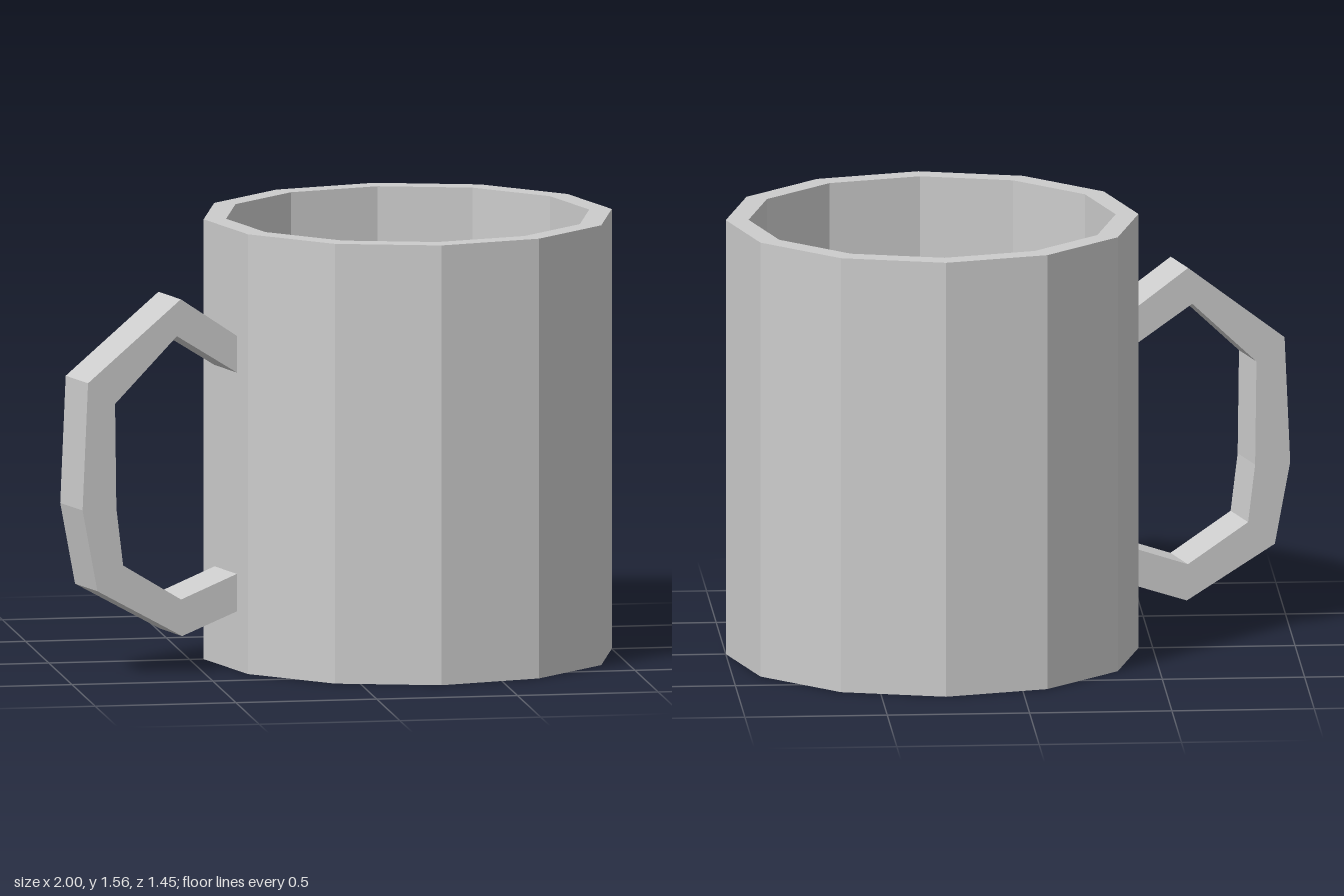
import * as THREE from 'three';

const SIDES = 12;
const CENTRE_X = 0.275;

export function createModel() {
  const group = new THREE.Group();
  group.name = 'mug';
  const material = new THREE.MeshStandardMaterial({ color: 0xcccccc, flatShading: true });

  // Cup: one closed profile with recessed foot, outer wall, rim, inner wall and floor
  const profile = [
    [0, 0.11], [0.59, 0.11], [0.59, 0], [0.725, 0],
    [0.725, 1.56], [0.645, 1.56], [0.645, 0.18], [0, 0.18],
  ].map(([r, y]) => new THREE.Vector2(r, y));
  const cup = new THREE.Mesh(new THREE.LatheGeometry(profile, SIDES), material);
  cup.name = 'cup';
  cup.position.x = CENTRE_X;
  group.add(cup);

  // Handle: angular C outline (distance from cup axis, height), extruded to its width
  const outline = [
    // outer edge, bottom to top
    [0.698, 0.21], [0.911, 0.135], [1.237, 0.315], [1.294, 0.605],
    [1.273, 1.055], [0.916, 1.33], [0.698, 1.185],
    // inner edge, top to bottom
    [0.698, 1.055], [0.931, 1.2], [1.169, 0.975], [1.164, 0.605],
    [1.138, 0.4], [0.915, 0.265], [0.698, 0.343],
  ].map(([d, y]) => new THREE.Vector2(d, y));
  const width = 0.19;
  const handleGeometry = new THREE.ExtrudeGeometry(new THREE.Shape(outline), {
    depth: width, bevelEnabled: false,
  });
  handleGeometry.translate(0, 0, -width / 2);
  const handle = new THREE.Mesh(handleGeometry, material);
  handle.name = 'handle';
  // Sits square on the middle of one wall panel
  handle.rotation.y = Math.PI + Math.PI / SIDES;
  handle.position.x = CENTRE_X;
  group.add(handle);

  return group;
}
